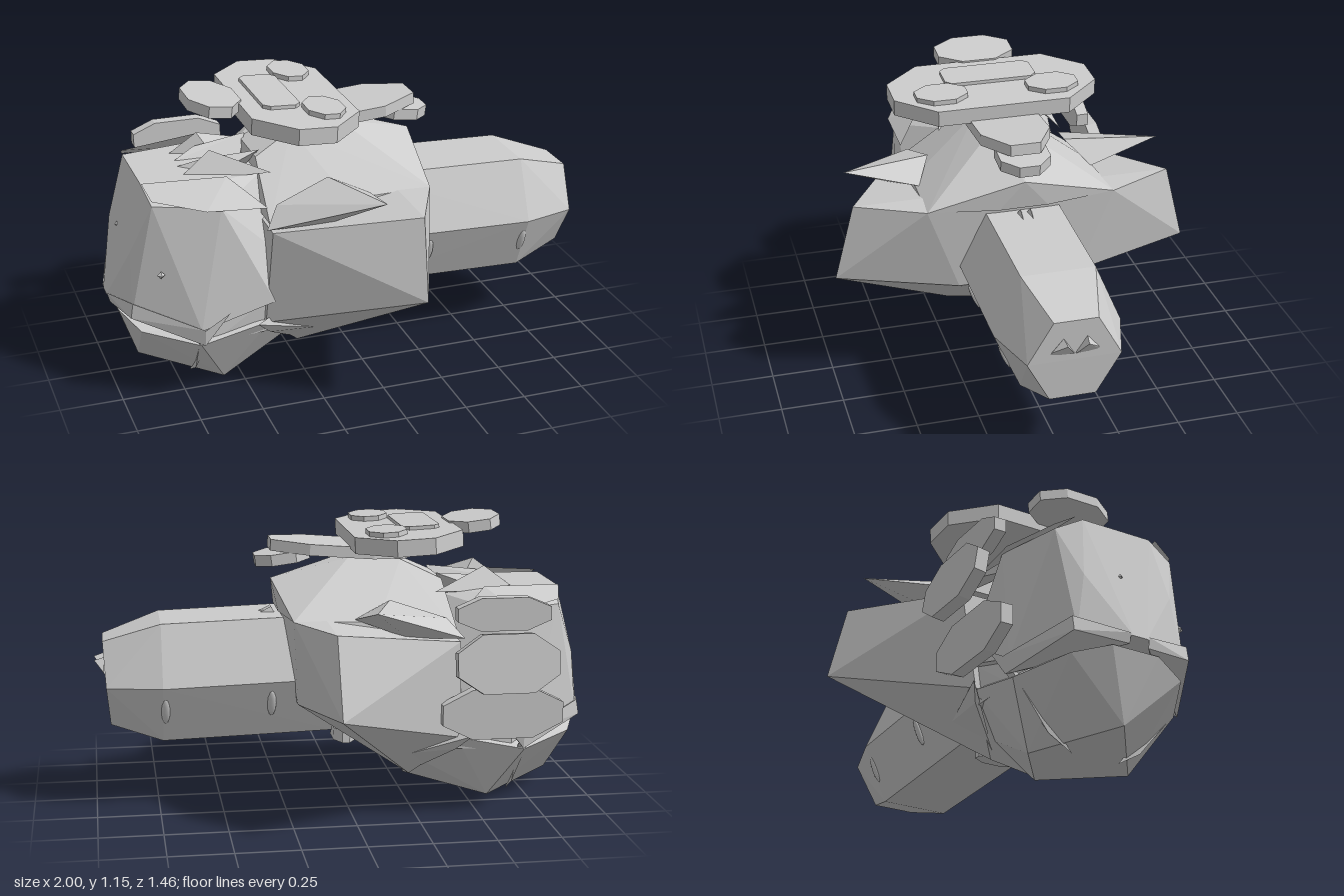
import * as THREE from 'three';
import { ConvexGeometry } from 'three/addons/geometries/ConvexGeometry.js';

export function createModel() {
  const model = new THREE.Group();
  model.name = 'creature';
  const grey = new THREE.MeshStandardMaterial({ color: 0xcccccc });
  grey.name = 'plain grey';

  const add = (name, geometry) => {
    const mesh = new THREE.Mesh(geometry, grey);
    mesh.name = name;
    model.add(mesh);
    return mesh;
  };
  const vec = (p, s = 1) => new THREE.Vector3(p[0], p[1], p[2] * s);

  // Faceted solid around a few corners, on one side or on both mirrored together
  const solid = (name, points, s = 1) => add(name, new ConvexGeometry(points.map(p => vec(p, s))));
  const symmetric = (name, points) => solid(name,
    points.flatMap(p => (p[2] === 0 ? [p] : [p, [p[0], p[1], -p[2]]])));
  const pair = (name, points) => {
    solid(name + 'Left', points, 1);
    solid(name + 'Right', points, -1);
  };

  // Slab with cut corners, lying flat and centred on its own origin
  const slab = (name, w, d, t, cx, cz, pos, tilt = 0) => {
    const x = w / 2, z = d / 2;
    const outline = [[x, z - cz], [x - cx, z], [cx - x, z], [-x, z - cz],
      [-x, cz - z], [cx - x, -z], [x - cx, -z], [x, cz - z]];
    const shape = new THREE.Shape(outline.map(p => new THREE.Vector2(...p)));
    const geometry = new THREE.ExtrudeGeometry(shape, { depth: t, bevelEnabled: false });
    geometry.translate(0, 0, -t / 2).rotateX(-Math.PI / 2);
    const mesh = add(name, geometry);
    mesh.position.set(...pos);
    mesh.rotation.z = tilt;
    return mesh;
  };

  // Body: wide angular shoulders tapering to the belly, with a hump on top
  symmetric('body', [
    [0.25, 0.79, 0.1], [0.23, 0.79, 0.38], [0.1, 0.79, 0.65], [0.09, 0.475, 0.73],
    [0.2, 0.43, 0.25], [-0.03, 0.26, 0.14], [-0.26, 0.11, 0.19], [-0.27, 0.075, 0],
    [-0.42, 0.7, 0.41], [-0.44, 0.3, 0.36],
  ]);
  symmetric('hump', [
    [0.28, 0.9, 0], [0.26, 0.78, 0.1], [0.23, 0.79, 0.38], [-0.03, 0.985, 0.06],
    [-0.24, 0.975, 0.07], [-0.4, 0.9, 0.12], [-0.1, 0.78, 0.37], [-0.42, 0.72, 0.37],
  ]);

  // Tail: six-sided and tapered at the end
  const ring = (x, top, mid, low, zt, zm) => [[x, top, zt], [x, mid, zm], [x, low, zt]];
  symmetric('tail', [
    ...ring(0.05, 0.77, 0.53, 0.295, 0.15, 0.25),
    ...ring(0.73, 0.75, 0.51, 0.275, 0.145, 0.248),
    [0.96, 0.675, 0.085], [0.95, 0.505, 0.18], [0.935, 0.335, 0.09],
  ]);
  pair('tailClaw', [[0.945, 0.53, 0.1], [0.945, 0.53, 0], [0.955, 0.602, 0.045],
    [0.995, 0.59, 0.04], [0.958, 0.55, 0.09], [0.958, 0.535, 0.005]]);
  pair('tailBarb', [[0.26, 0.75, 0.035], [0.26, 0.75, 0.005], [0.33, 0.76, 0.02], [0.28, 0.785, 0.02]]);
  for (const s of [-1, 1]) for (const [x, y, z] of [[0.3, 0.43, 0.212], [0.72, 0.41, 0.202]]) {
    const lens = add('tailLens', new THREE.SphereGeometry(1, 10, 6));
    lens.scale.set(0.018, 0.06, 0.012);
    lens.position.set(x, y, s * z);
    lens.rotation.x = s * 0.4;
  }

  // Head: skull with flat cheeks, a keeled jaw under it, and the palate between
  symmetric('skull', [
    [-1, 0.36, 0.03], [-0.94, 0.36, 0.23], [-0.93, 0.6, 0.19], [-0.87, 0.87, 0.15],
    [-0.85, 0.81, 0.26], [-0.57, 0.86, 0.22], [-0.6, 0.8, 0.34], [-0.7, 0.31, 0.37],
    [-0.41, 0.4, 0.39], [-0.38, 0.85, 0.14], [-0.3, 0.5, 0.3],
  ]);
  symmetric('jaw', [
    [-0.97, 0.32, 0.1], [-0.88, 0.06, 0], [-0.58, 0.015, 0.22], [-0.27, 0.06, 0],
    [-0.7, 0.24, 0.355], [-0.42, 0.3, 0.355], [-0.25, 0.2, 0.2], [-0.91, 0.28, 0.24],
  ]);
  symmetric('palate', [[-0.9, 0.4, 0.15], [-0.9, 0.27, 0.15], [-0.65, 0.4, 0.34],
    [-0.65, 0.24, 0.34], [-0.35, 0.45, 0.35], [-0.35, 0.25, 0.33]]);
  pair('lip', [[-1, 0.37, 0.04], [-0.99, 0.33, 0.04], [-0.94, 0.41, 0.25], [-0.95, 0.35, 0.25],
    [-0.69, 0.32, 0.39], [-0.69, 0.25, 0.38], [-0.8, 0.3, 0.2]]);
  pair('lipCorner', [[-0.69, 0.32, 0.39], [-0.69, 0.25, 0.38], [-0.59, 0.38, 0.39], [-0.65, 0.3, 0.33]]);
  pair('tusk', [[-0.71, 0.27, 0.37], [-0.67, 0.27, 0.37], [-0.7, 0.25, 0.3], [-0.69, 0, 0.1], [-0.69, 0.06, 0.2]]);
  pair('cheekSpike', [[-0.48, 0.31, 0.39], [-0.42, 0.25, 0.35], [-0.41, 0.33, 0.36], [-0.27, 0.12, 0.18], [-0.24, 0.24, 0.35]]);

  // Tiny studs on the snout and the near cheek
  const stud = (name, x, y, z) => {
    const mesh = add(name, new THREE.OctahedronGeometry(0.016));
    mesh.position.set(x, y, z);
  };
  stud('cheekStud', -0.835, 0.54, 0.3);
  stud('snoutStud', -0.925, 0.63, -0.03);

  // Crest: overlapping shards on top of the head
  pair('crestShard', [[-0.72, 0.84, 0.12], [-0.58, 0.945, 0.1], [-0.36, 0.86, 0.2], [-0.5, 0.82, 0.05]]);
  pair('browShard', [[-0.87, 0.875, 0.18], [-0.55, 0.885, 0.24], [-0.42, 0.78, 0.35], [-0.66, 0.8, 0.355], [-0.85, 0.83, 0.26]]);
  pair('innerShard', [[-0.69, 0.865, 0.03], [-0.6, 0.9, 0.07], [-0.38, 0.92, 0.1], [-0.42, 0.84, 0.04], [-0.58, 0.85, 0.13]]);

  // Ears: thin swept spikes over the shoulders
  pair('ear', [[-0.44, 0.71, 0.4], [-0.38, 0.78, 0.33], [-0.16, 0.85, 0.29], [-0.01, 0.79, 0.36],
    [-0.2, 0.73, 0.45], [-0.05, 0.868, 0.655]]);

  // Stacked plates over the back
  const tilt = -0.05;
  slab('mainPlate', 0.43, 0.84, 0.065, 0.14, 0.15, [-0.24, 1.075, 0], tilt);
  slab('mainPlateBar', 0.15, 0.38, 0.03, 0.025, 0.025, [-0.305, 1.11, 0], tilt);
  for (const s of [-1, 1]) {
    slab('mainPlateButton', 0.15, 0.21, 0.03, 0.045, 0.06, [-0.155, 1.108, s * 0.23], tilt);
  }
  slab('frontPlate', 0.21, 0.32, 0.045, 0.06, 0.09, [-0.545, 1.115, 0], -0.12);
  slab('rearPlate', 0.56, 0.28, 0.045, 0.15, 0.08, [0.005, 1.02, 0], 0.08);
  slab('rearSmallPlate', 0.22, 0.2, 0.045, 0.06, 0.06, [0.235, 0.99, 0], -0.13);

  // Stacked plates on the far side of the head
  const sideSlab = (name, w, h, t, y, z, lean = 0) => {
    slab(name, w, h, t, w * 0.25, h * 0.3, [-0.58, y, z]).rotation.x = Math.PI / 2 + lean;
  };
  sideSlab('sideUpperPlate', 0.37, 0.13, 0.05, 0.815, -0.445);
  sideSlab('sideMiddlePlate', 0.4, 0.23, 0.05, 0.635, -0.53, 0.15);
  sideSlab('sideLowerPlate', 0.48, 0.2, 0.05, 0.42, -0.45);

  // Small pad under the belly
  slab('bellyPad', 0.09, 0.19, 0.05, 0.03, 0.05, [-0.015, 0.25, -0.015], 0.05);

  return model;
}
